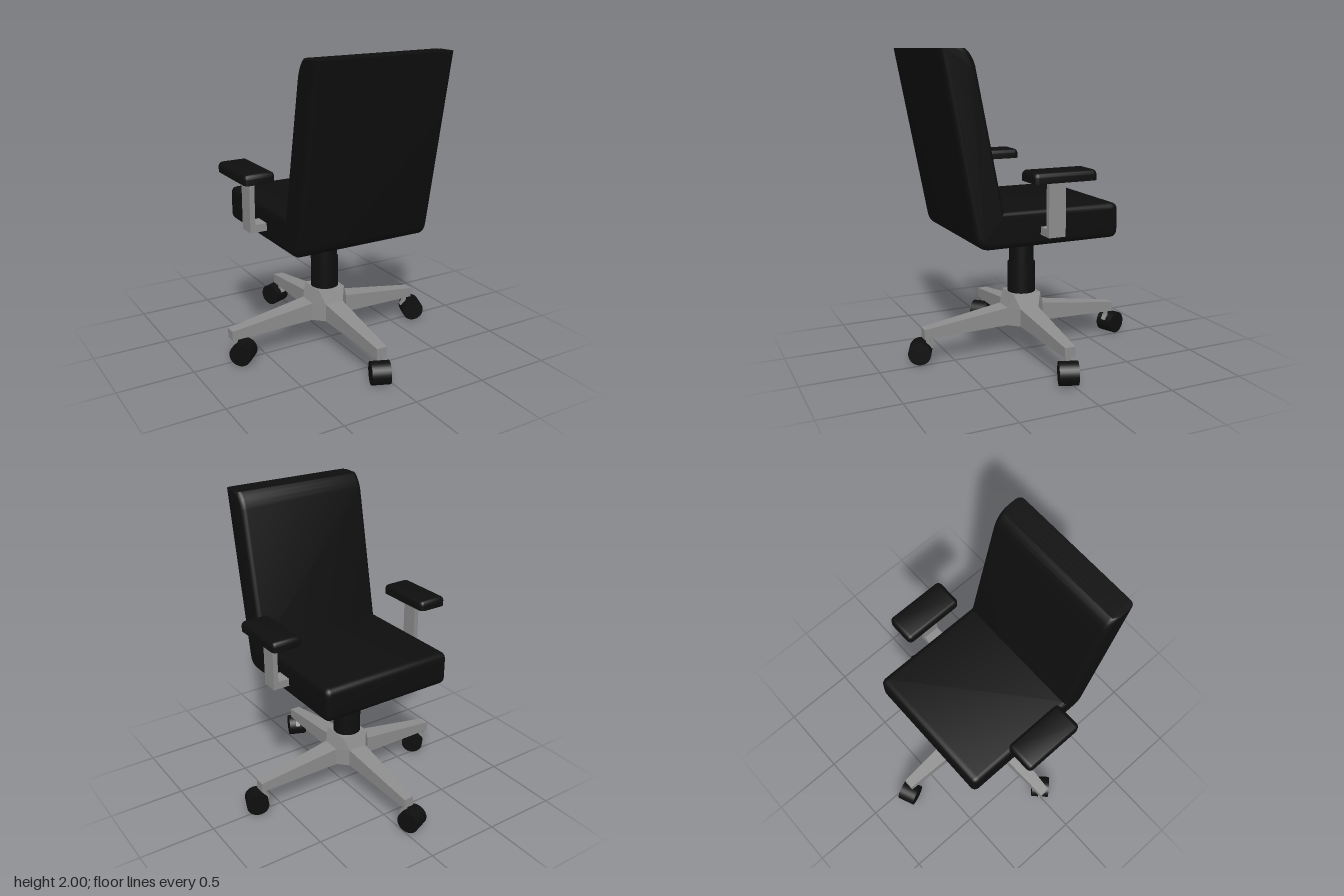
import * as THREE from 'three';
import { toCreasedNormals } from 'three/addons/utils/BufferGeometryUtils.js';
import { RoundedBoxGeometry } from 'three/addons/geometries/RoundedBoxGeometry.js';

const black = new THREE.MeshStandardMaterial({ color: 0x0e0e0e });
black.name = 'black upholstery';
const grey = new THREE.MeshStandardMaterial({ color: 0x8c8c8c });
grey.name = 'grey metal';

function add(parent, name, geometry, material, x = 0, y = 0, z = 0) {
  const mesh = new THREE.Mesh(geometry, material);
  mesh.name = name;
  mesh.position.set(x, y, z);
  parent.add(mesh);
  return mesh;
}

// Limits every vertex height to a range, leaving a flat cut
function clampHeight(geometry, low, high) {
  const p = geometry.attributes.position;
  for (let i = 0; i < p.count; i++) p.setY(i, THREE.MathUtils.clamp(p.getY(i), low, high));
  return toCreasedNormals(geometry, 0.6);
}

// Seat and backrest share one L-shaped side profile (z, y), swept across the width
function seatAndBackGeometry() {
  const s = new THREE.Shape();
  s.moveTo(-0.415, 0.815);
  s.lineTo(0.41, 0.815);
  s.quadraticCurveTo(0.485, 0.815, 0.502, 0.89);
  s.lineTo(0.71, 2.04);
  s.lineTo(0.67, 2.04);
  s.quadraticCurveTo(0.53, 2.04, 0.49, 1.9);
  s.lineTo(0.32, 1.04);
  s.lineTo(-0.415, 1.04);
  s.quadraticCurveTo(-0.467, 1.04, -0.467, 0.988);
  s.lineTo(-0.467, 0.867);
  s.quadraticCurveTo(-0.467, 0.815, -0.415, 0.815);
  const bevel = 0.035, width = 0.925;
  const g = new THREE.ExtrudeGeometry(s, {
    depth: width - 2 * bevel, bevelEnabled: true, bevelThickness: bevel,
    bevelSize: bevel, bevelOffset: -bevel, bevelSegments: 4, curveSegments: 8,
  });
  g.translate(0, 0, bevel - width / 2);
  g.rotateY(-Math.PI / 2);
  return clampHeight(g, 0, 2);
}

// Quarter of the star base: one tapered leg along +z with its share of the hub
function baseQuarterGeometry() {
  const v = (x, y, z) => [x, y, z];
  const pair = (x, y, z) => [v(-x, y, z), v(x, y, z)];
  const [h0, h1] = pair(0.095, 0.4, 0.095);
  const [r0, r1] = pair(0.065, 0.31, 0.13);
  const [b0, b1] = pair(0.065, 0.19, 0.13);
  const [t0, t1] = pair(0.035, 0.23, 0.697);
  const [u0, u1] = pair(0.035, 0.165, 0.697);
  const s = v(0.13, 0.31, 0.065), sb = v(0.13, 0.19, 0.065);
  const top = v(0, 0.4, 0), bottom = v(0, 0.19, 0);
  const faces = [
    [r0, t0, t1, r1], [b1, u1, u0, b0], [r1, t1, u1, b1], [b0, u0, t0, r0], [t0, u0, u1, t1],
    [h0, r0, r1, h1], [h1, r1, s], [r1, b1, sb, s], [b1, b0, bottom], [sb, b1, bottom], [h0, h1, top],
  ];
  const out = [];
  for (const f of faces) {
    for (let i = 1; i < f.length - 1; i++) out.push(...f[0], ...f[i], ...f[i + 1]);
  }
  const g = new THREE.BufferGeometry();
  g.setAttribute('position', new THREE.Float32BufferAttribute(out, 3));
  g.computeVertexNormals();
  return g;
}

// Caster: pin at the group origin, wheel trailing along local +z
function makeCaster() {
  const caster = new THREE.Group();
  caster.name = 'caster';
  const wheel = new THREE.CylinderGeometry(0.074, 0.074, 0.12, 28);
  wheel.rotateZ(Math.PI / 2);
  add(caster, 'wheel', wheel, black, 0, 0.074, 0.052);
  add(caster, 'pin', new THREE.CylinderGeometry(0.016, 0.016, 0.06, 12), grey, 0, 0.14, 0);
  const fork = add(caster, 'fork', new THREE.BoxGeometry(0.03, 0.065, 0.012), grey, 0, 0.128, -0.012);
  fork.rotation.x = 0.5;
  return caster;
}

export function createModel() {
  const model = new THREE.Group();
  model.name = 'officeChair';
  const chair = new THREE.Group();
  chair.name = 'chair';
  chair.position.x = -0.046;
  model.add(chair);

  add(chair, 'seatAndBackrest', seatAndBackGeometry(), black);

  // Gas lift column
  add(chair, 'upperColumn', new THREE.CylinderGeometry(0.082, 0.082, 0.26, 32), black, 0, 0.71, 0);
  add(chair, 'lowerColumn', new THREE.CylinderGeometry(0.092, 0.092, 0.21, 32), black, 0, 0.495, 0);

  // Armrests
  const pad = clampHeight(new RoundedBoxGeometry(0.2, 0.13, 0.415, 4, 0.03), 0, 1);
  for (const side of [-1, 1]) {
    const arm = new THREE.Group();
    arm.name = side > 0 ? 'leftArmrest' : 'rightArmrest';
    add(arm, 'armPad', pad, black, side * 0.56, 1.23, 0.012);
    add(arm, 'armPost', new THREE.BoxGeometry(0.034, 0.35, 0.112), grey, side * 0.557, 1.06, 0.029);
    add(arm, 'armBracket', new THREE.BoxGeometry(0.1, 0.05, 0.112), grey, side * 0.49, 0.91, 0.029);
    chair.add(arm);
  }

  // Four-legged base, each caster swivelled to its own heading
  const quarter = baseQuarterGeometry();
  const headings = [[-0.38, 0.92], [0.93, 0.36], [-0.38, -0.92], [0.7, 0.7]];
  headings.forEach(([dx, dz], i) => {
    const angle = i * Math.PI / 2;
    add(chair, 'baseLeg', quarter, grey).rotation.y = angle;
    const caster = makeCaster();
    caster.position.set(Math.sin(angle) * 0.663, 0, Math.cos(angle) * 0.663);
    caster.rotation.y = Math.atan2(dx, dz);
    chair.add(caster);
  });

  return model;
}
